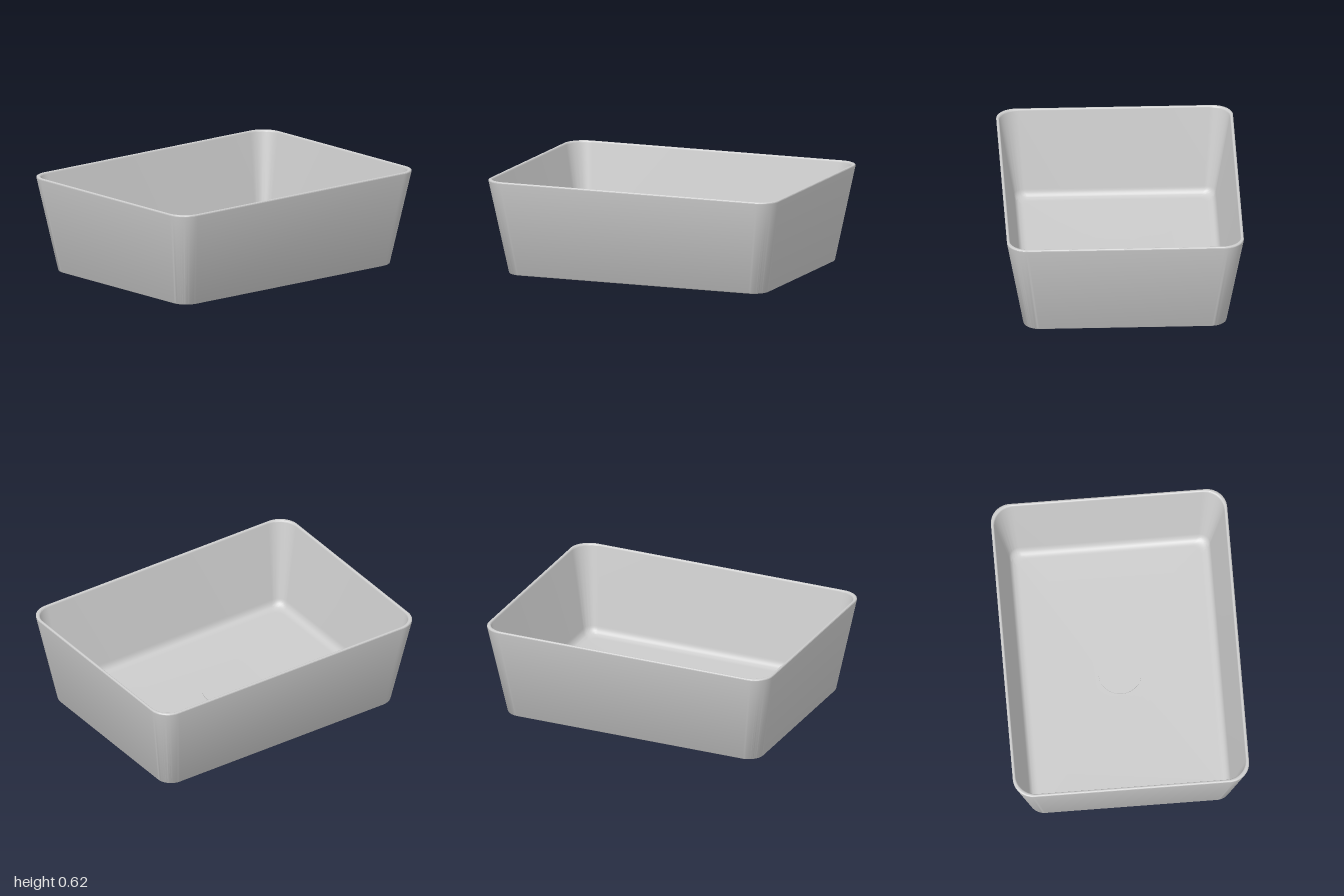
import * as THREE from 'three';
import { toCreasedNormals } from 'three/addons/utils/BufferGeometryUtils.js';

const HALF_X = 1, HALF_Z = 0.758, HOLE = 0.117, FLOOR = 0.04;
const CORNER_STEPS = 14;

// Closed rounded-rectangle loop at height y
function ring(hx, hz, r, y) {
  const points = [];
  for (let q = 0; q < 4; q++) {
    const sx = q === 0 || q === 3 ? 1 : -1;
    const sz = q < 2 ? 1 : -1;
    for (let k = 0; k <= CORNER_STEPS; k++) {
      const a = (q + k / CORNER_STEPS) * Math.PI / 2;
      points.push([sx * (hx - r) + r * Math.cos(a), y, sz * (hz - r) + r * Math.sin(a)]);
    }
  }
  return points;
}

// Skin joining consecutive loops
function loft(rings) {
  const n = rings[0].length, index = [];
  for (let i = 0; i < rings.length - 1; i++) {
    for (let j = 0; j < n; j++) {
      const a = i * n + j, b = i * n + (j + 1) % n;
      index.push(a, a + n, b, b, a + n, b + n);
    }
  }
  const geometry = new THREE.BufferGeometry();
  geometry.setAttribute('position', new THREE.Float32BufferAttribute(rings.flat(2), 3));
  geometry.setIndex(index);
  return toCreasedNormals(geometry, 0.6);
}

// Points along a rounded profile corner; each is (inset, height)
function bend(a, corner, b, steps) {
  const v = (p) => new THREE.Vector2(...p);
  return new THREE.QuadraticBezierCurve(v(a), v(corner), v(b)).getPoints(steps);
}

export function createModel() {
  const group = new THREE.Group();
  const material = new THREE.MeshStandardMaterial({ color: 0xcccccc });

  // Outer wall profile, then rim and inner wall down to the floor
  const outer = [
    ...bend([0.118, 0], [0.11, 0], [0.1086, 0.008], 4),
    ...bend([0.002, 0.608], [0, 0.62], [0.01, 0.62], 5),
  ];
  const inner = [
    ...bend([0.012, 0.62], [0.02, 0.62], [0.022, 0.608], 5),
    ...bend([0.113, 0.095], [0.123, FLOOR], [0.175, FLOOR], 10),
  ];
  const section = (list, bottomRadius) => list.map((p) => {
    const r = THREE.MathUtils.lerp(bottomRadius, 0.13, p.y / 0.62);
    return ring(HALF_X - p.x, HALF_Z - p.x, r, p.y);
  });
  const hole = (y) => ring(HOLE, HOLE, HOLE, y);

  // Basin shell, with the drain hole through its floor
  const basin = new THREE.Mesh(loft([
    hole(FLOOR), hole(0),
    ...section(outer, 0.1),
    ...section(inner, 0.06),
    hole(FLOOR),
  ]), material);
  basin.name = 'basin';
  group.add(basin);

  // Flat cover resting over the drain hole
  const cover = new THREE.Mesh(new THREE.CylinderGeometry(0.137, 0.137, 0.006, 64), material);
  cover.position.y = FLOOR + 0.003;
  cover.name = 'drainCover';
  group.add(cover);

  return group;
}
